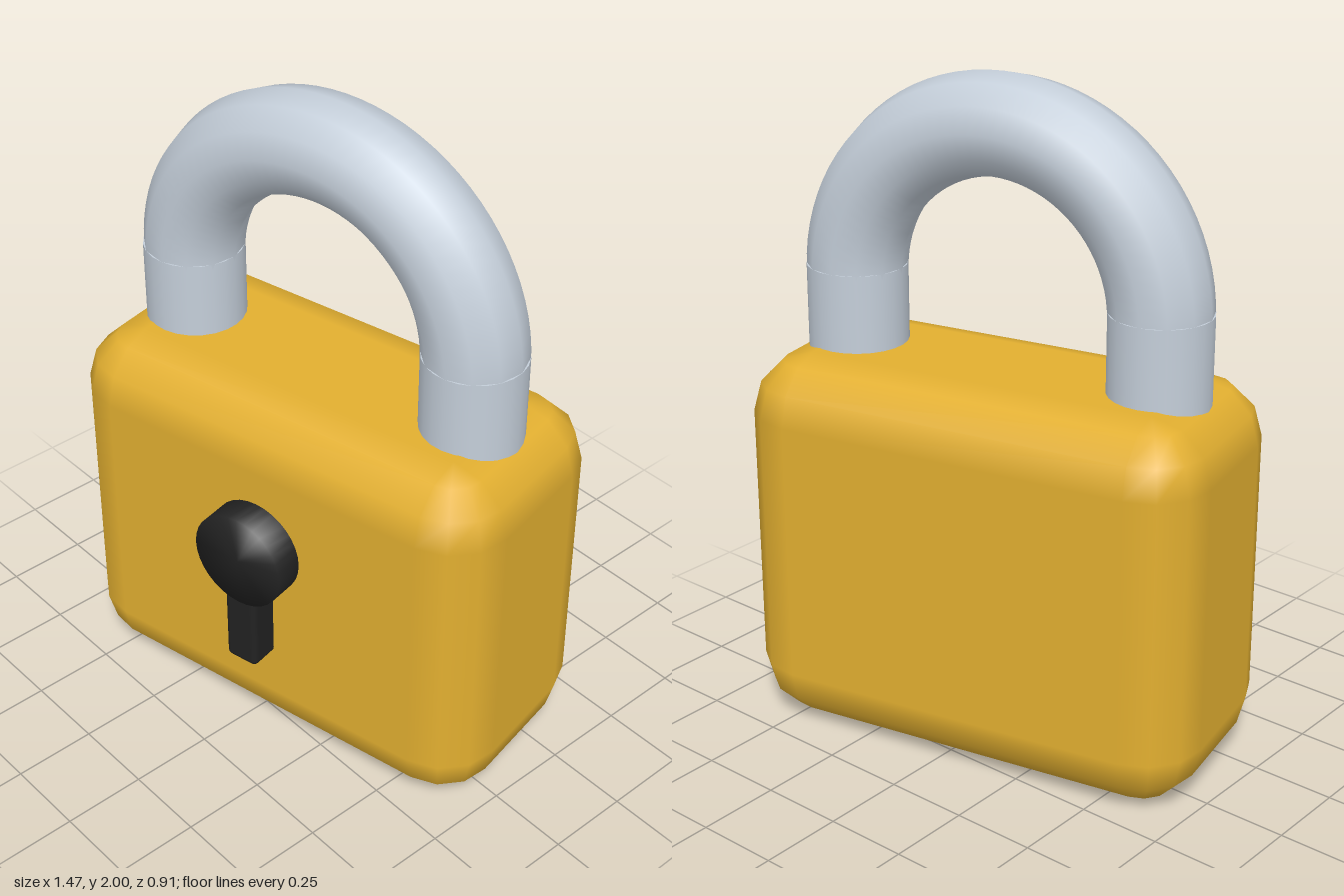
import * as THREE from 'three';
import { mergeVertices } from 'three/addons/utils/BufferGeometryUtils.js';
import { RoundedBoxGeometry } from 'three/addons/geometries/RoundedBoxGeometry.js';

const brass = new THREE.MeshStandardMaterial({ name: 'brass', color: 0xe2af30 });
const steel = new THREE.MeshStandardMaterial({ name: 'steel', color: 0xc4ced9 });
const black = new THREE.MeshStandardMaterial({ name: 'black', color: 0x222222 });

// Box with three-step rounded edges, made by wrapping a grid around it:
// four columns per corner, four rows per rounded edge, plus one row for each cap centre.
function bevelledBox(w, h, d, r) {
  const geo = new THREE.PlaneGeometry(1, 1, 16, 9);
  const pos = geo.attributes.position, nor = geo.attributes.normal;
  const q = Math.PI / 2;
  for (let row = 0; row <= 9; row++) {
    const top = row < 5;
    const step = THREE.MathUtils.clamp(top ? row - 1 : row - 5, 0, 3);
    const lat = (top ? 1 - step / 3 : -step / 3) * q;
    for (let col = 0; col <= 16; col++) {
      const i = row * 17 + col;
      const corner = Math.floor((col % 16) / 4);
      const a = (corner + (col % 4) / 3) * q;
      const mid = (corner + 0.5) * q;
      const n = new THREE.Vector3(Math.cos(lat) * Math.sin(a), Math.sin(lat), Math.cos(lat) * Math.cos(a));
      const spread = row === 0 || row === 9 ? 0 : 1;
      pos.setXYZ(i,
        spread * Math.sign(Math.sin(mid)) * (w / 2 - r) + n.x * r,
        (top ? 1 : -1) * (h / 2 - r) + n.y * r,
        spread * Math.sign(Math.cos(mid)) * (d / 2 - r) + n.z * r);
      nor.setXYZ(i, n.x, n.y, n.z);
    }
  }
  return geo;
}

// Cylinder whose rim is shaded softly into its caps
function softDisc(radius, depth) {
  const geo = new THREE.CylinderGeometry(radius, radius, depth, 32);
  geo.deleteAttribute('normal');
  geo.deleteAttribute('uv');
  const soft = mergeVertices(geo);
  soft.computeVertexNormals();
  return soft.rotateX(Math.PI / 2);
}

export function createModel() {
  const padlock = new THREE.Group();
  padlock.name = 'padlock';
  const add = (name, geo, mat, x, y, z, parent = padlock) => {
    const mesh = new THREE.Mesh(geo, mat);
    mesh.name = name;
    mesh.position.set(x, y, z);
    parent.add(mesh);
    return mesh;
  };

  const midZ = -0.007;
  add('body', bevelledBox(1.43, 1.157, 0.694, 0.18), brass, 0, 0.5785, midZ);

  // Shackle: half ring on two straight legs
  const shackle = new THREE.Group();
  shackle.name = 'shackle';
  padlock.add(shackle);
  const ring = 0.483, tube = 0.148, legTop = 1.39, legBottom = 1.0;
  add('shackleArch', new THREE.TorusGeometry(ring, tube, 12, 40, Math.PI), steel, 0, 1.369, midZ, shackle);
  for (const [name, side] of [['leftLeg', 1], ['rightLeg', -1]]) {
    add(name, new THREE.CylinderGeometry(tube, tube, legTop - legBottom, 24), steel,
      side * ring, (legTop + legBottom) / 2, midZ, shackle);
  }

  // Raised keyhole on the front
  const keyhole = new THREE.Group();
  keyhole.name = 'keyhole';
  padlock.add(keyhole);
  add('keyholeDisc', softDisc(0.15, 0.15), black, 0, 0.72, 0.355, keyhole);
  add('keyholeSlot', new RoundedBoxGeometry(0.108, 0.33, 0.15, 2, 0.018), black, 0, 0.502, 0.353, keyhole);

  // The lock stands slightly turned
  padlock.rotation.y = 0.21;
  const model = new THREE.Group();
  model.name = 'model';
  model.add(padlock);
  return model;
}
